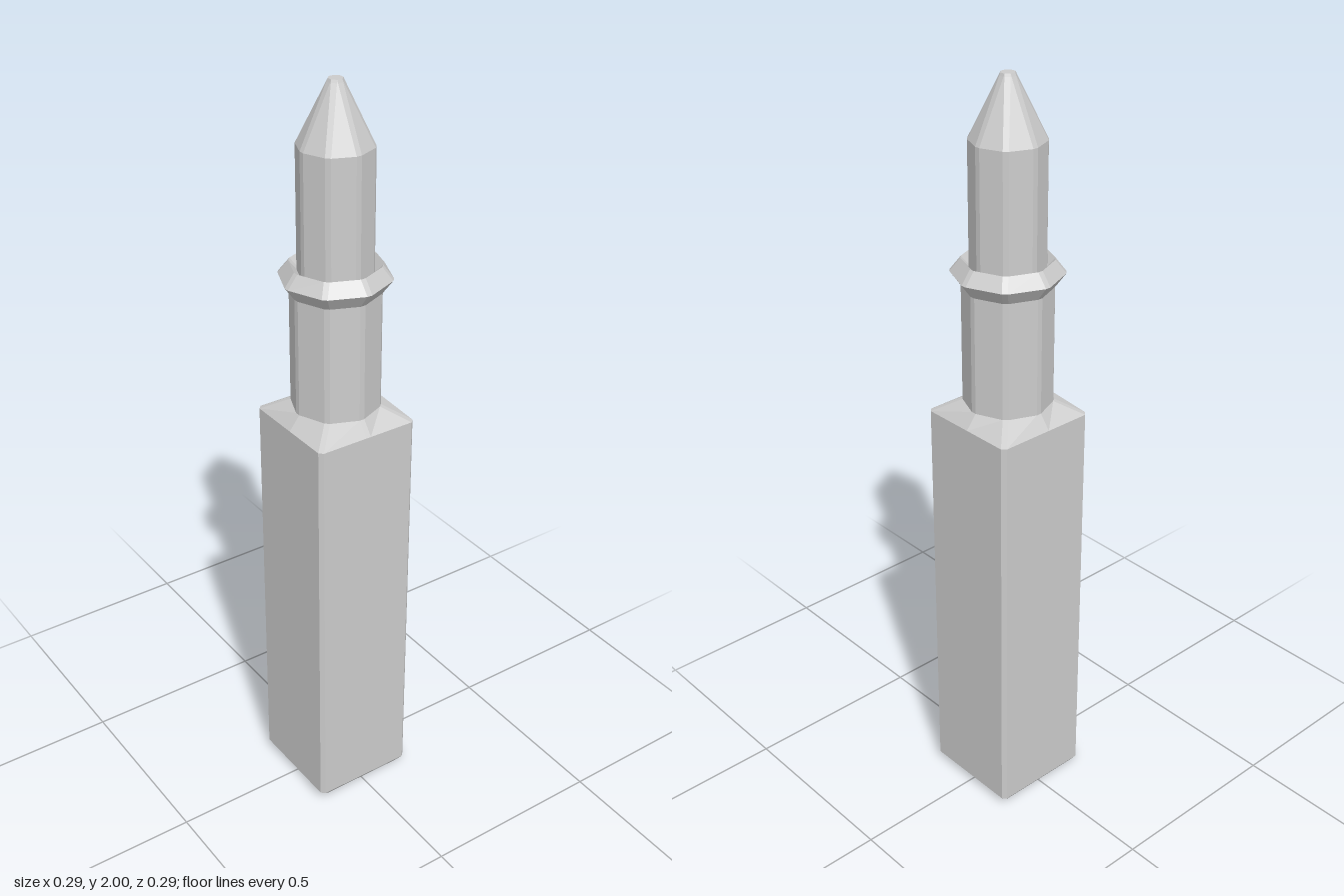
import * as THREE from 'three';

const EDGE = 0.007; // half width of the narrow bevel along each octagon edge

// Bevelled octagon: eight corners, each split into two points
function octagon(r, y) {
  const w = Math.min(EDGE, r * 0.41), pts = [];
  for (let k = 0; k < 8; k++) {
    const a = k * Math.PI / 4, c = Math.cos(a), s = Math.sin(a);
    for (const t of [-w, w]) pts.push(new THREE.Vector3(r * c - t * s, y, -(r * s + t * c)));
  }
  return pts;
}

// Square with chamfered corners, with the same 16 points in the same order
function square(h, y, chamfer = 0.01) {
  const pts = [];
  for (let k = 0; k < 4; k++) {
    const a = k * Math.PI / 2, c = Math.cos(a), s = Math.sin(a);
    for (const [u, v] of [[h, -EDGE], [h, EDGE], [h, h - chamfer], [h - chamfer, h]])
      pts.push(new THREE.Vector3(u * c - v * s, y, -(u * s + v * c)));
  }
  return pts;
}

// Joins rings from bottom to top into a faceted surface, with optional end caps
function loft(name, rings, { capBottom = false, capTop = false } = {}) {
  const pos = [], tri = (...vs) => vs.forEach(v => pos.push(v.x, v.y, v.z));
  const n = rings[0].length;
  for (let j = 0; j < rings.length - 1; j++) {
    const lo = rings[j], up = rings[j + 1];
    for (let i = 0; i < n; i++) {
      const k = (i + 1) % n;
      tri(lo[i], lo[k], up[k]);
      tri(lo[i], up[k], up[i]);
    }
  }
  const first = rings[0], last = rings[rings.length - 1];
  for (let i = 1; i < n - 1; i++) {
    if (capBottom) tri(first[0], first[i + 1], first[i]);
    if (capTop) tri(last[0], last[i], last[i + 1]);
  }
  const geo = new THREE.BufferGeometry();
  geo.setAttribute('position', new THREE.Float32BufferAttribute(pos, 3));
  geo.computeVertexNormals();
  const mesh = new THREE.Mesh(geo, new THREE.MeshStandardMaterial({ color: 0xcccccc, flatShading: true }));
  mesh.name = name;
  return mesh;
}

export function createModel() {
  const model = new THREE.Group();
  model.name = 'post';
  model.add(
    // Square block with chamfered foot and sloping shoulders
    loft('squareBase', [
      square(0.128, 0), square(0.143, 0.02), square(0.143, 1.135), octagon(0.114, 1.172),
    ], { capBottom: true }),
    loft('lowerShaft', [octagon(0.114, 1.172), octagon(0.114, 1.482)]),
    // Flared ring whose top dips inward to the upper shaft
    loft('collar', [
      octagon(0.114, 1.482), octagon(0.141, 1.518), octagon(0.114, 1.552), octagon(0.094, 1.53),
    ]),
    loft('upperShaft', [octagon(0.094, 1.53), octagon(0.094, 1.845)]),
    // Tapered point with a small flat end
    loft('point', [
      octagon(0.094, 1.845), octagon(0.02, 1.993), octagon(0.017, 2),
    ], { capTop: true }),
  );
  return model;
}
